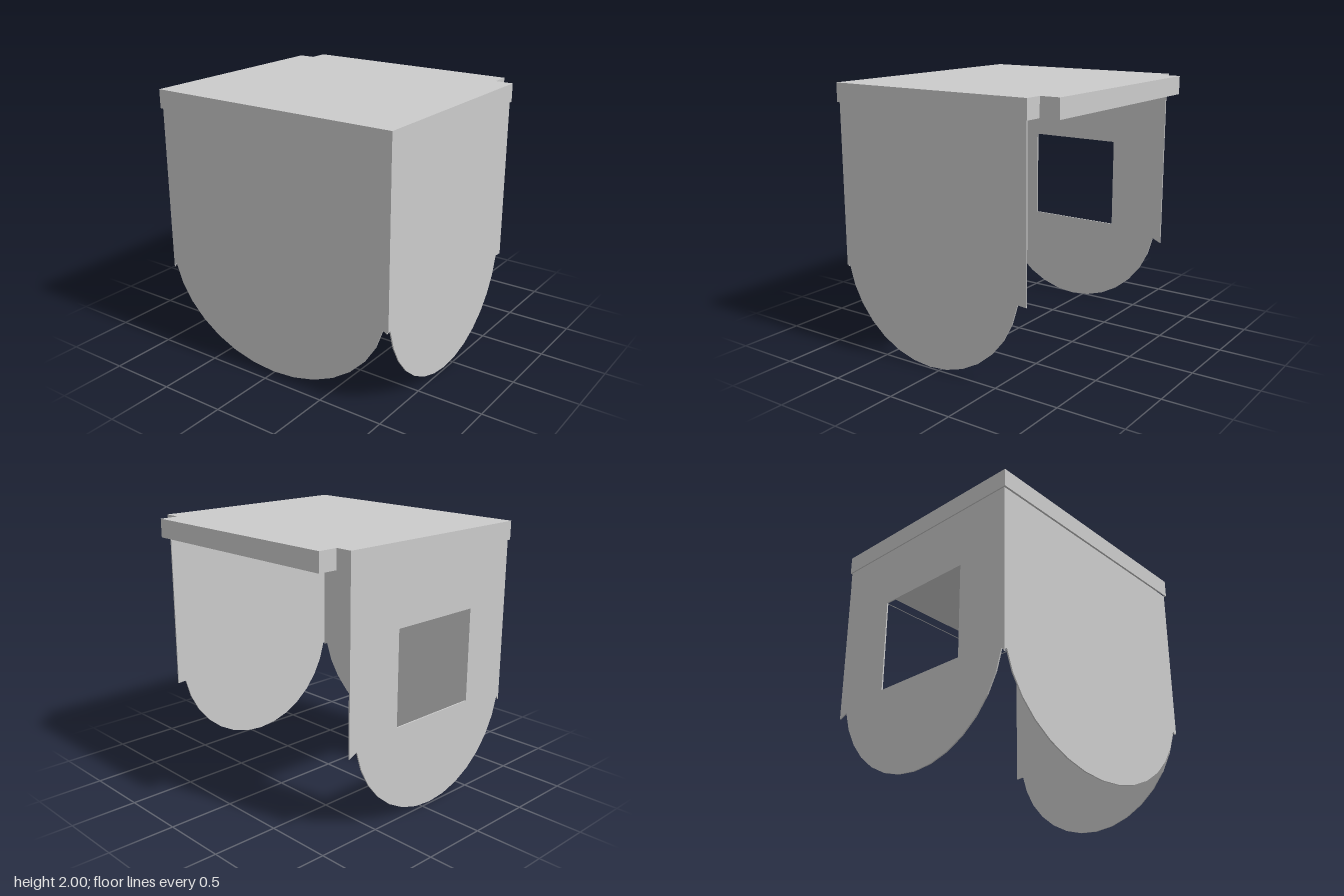
import * as THREE from 'three';

const THICK = 0.01;

export function createModel() {
  const model = new THREE.Group();
  const material = new THREE.MeshStandardMaterial({ color: 0xcccccc, flatShading: true });

  const add = (name, geometry) => {
    const mesh = new THREE.Mesh(geometry, material);
    mesh.name = name;
    model.add(mesh);
    return mesh;
  };
  const extrude = (shape, depth) =>
    new THREE.ExtrudeGeometry(shape, { depth, bevelEnabled: false });

  // Lid outline with two notched rear corners; inset moves every edge inward
  const lidOutline = (inset) => [
    [-0.995, 0.905], [0.995, 0.905], [0.995, -0.755], [0.855, -0.755],
    [0.855, -0.905], [-0.87, -0.905], [-0.87, -0.755], [-0.995, -0.755],
  ].map(([x, z]) => new THREE.Vector2(x - Math.sign(x) * inset, z - Math.sign(z) * inset));

  // Lid: top slab plus a thin hanging rim, hollow below
  const slab = extrude(new THREE.Shape(lidOutline(0)), 0.06).rotateX(Math.PI / 2);
  add('lidTop', slab).position.y = 2;
  const rimShape = new THREE.Shape(lidOutline(0));
  rimShape.holes.push(new THREE.Path(lidOutline(THICK)));
  add('lidRim', extrude(rimShape, 0.08).rotateX(Math.PI / 2)).position.y = 1.94;

  // Hanging panel: straight sides, small steps, then a faceted round bottom
  const panelShape = (min, max, center, radius, stepY) => {
    const points = [[max, stepY], [max, 1.86], [min, 1.86], [min, stepY]];
    for (let i = -7; i <= 7; i++) {
      const a = (i * Math.PI) / 16;
      points.push([center + radius * Math.sin(a), 0.005 + 0.785 * (1 - Math.cos(a))]);
    }
    return new THREE.Shape(points.map(([u, y]) => new THREE.Vector2(u, y)));
  };

  // Front panel
  add('frontPanel', extrude(panelShape(-0.98, 0.975, -0.01, 0.97, 0.62), THICK)).position.z = 0.88;

  // Side panels; the right-hand one (-x) has a rectangular window
  for (const side of [1, -1]) {
    const shape = panelShape(-0.745, 0.89, 0.095, 0.785, side > 0 ? 0.632 : 0.605);
    if (side < 0) {
      shape.holes.push(new THREE.Path([
        [-0.285, 0.7], [-0.285, 1.41], [0.48, 1.41], [0.48, 0.7],
      ].map(([z, y]) => new THREE.Vector2(z, y))));
    }
    const panel = add(side > 0 ? 'leftPanel' : 'rightWindowPanel',
      extrude(shape, THICK).rotateY(-Math.PI / 2));
    panel.position.x = side * 0.98 + THICK / 2;
  }

  return model;
}
